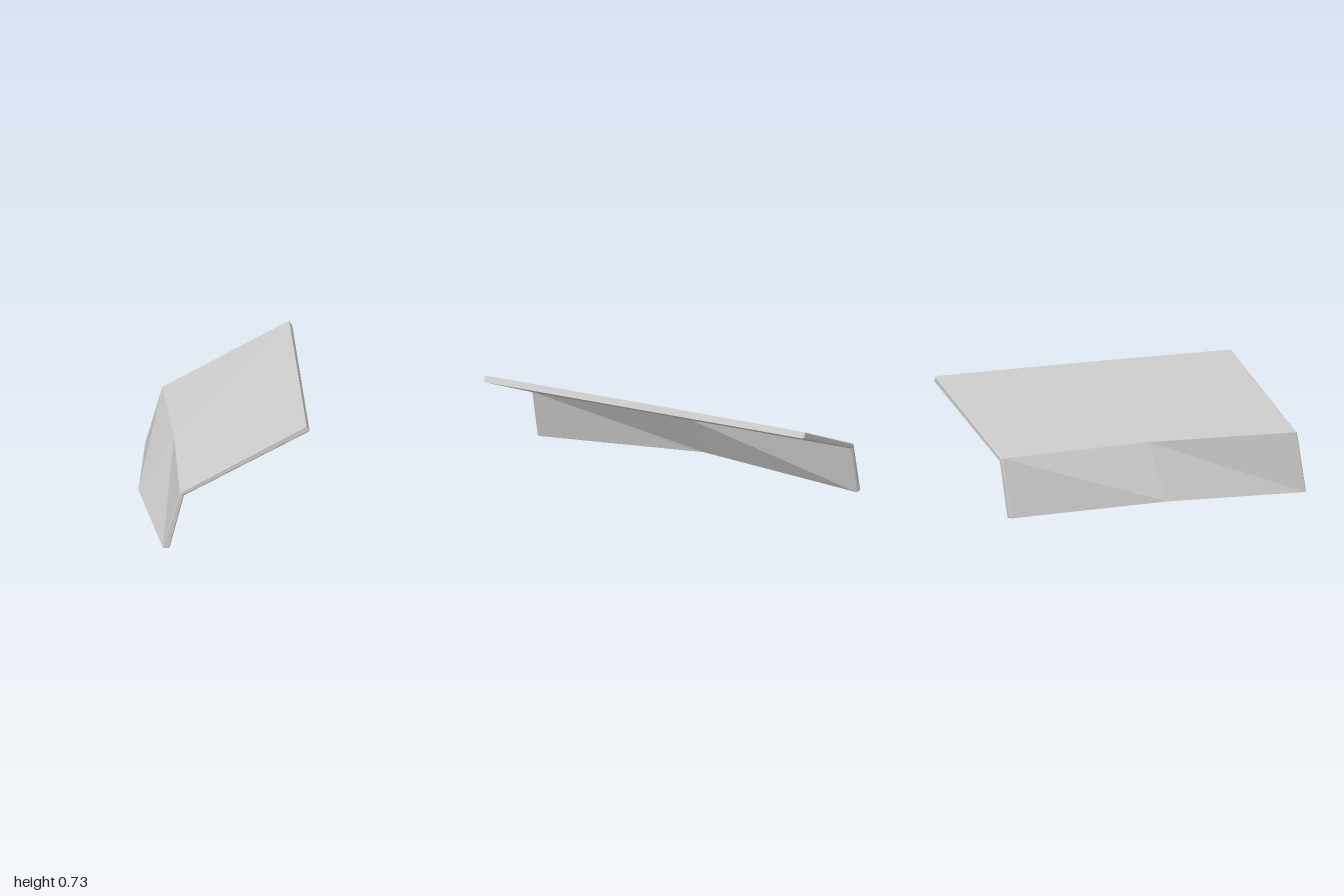
import * as THREE from 'three';

// Profiles (x, y): flap bottom outer/inner, bend inner, roof edge inner/outer, bend outer
const END = [[-0.38, 0], [-0.34, 0], [-0.257, 0.314], [0.468, 0.691], [0.45, 0.725], [-0.281, 0.336]];
const MIDDLE = [[-0.47, 0.033], [-0.43, 0.037], [-0.255, 0.315], [0.468, 0.691], [0.45, 0.728], [-0.264, 0.353]];
// Inward directions for the fine chamfer around both ends
const INSET = [[0.005, 0.004], [-0.004, 0.005], [-0.005, 0.004], [-0.006, 0.003], [-0.003, -0.006], [0.004, -0.005]];

function createSheet() {
  const chamfered = END.map(([x, y], i) => [x + INSET[i][0], y + INSET[i][1]]);
  const sections = [[chamfered, -1], [END, -0.993], [MIDDLE, 0], [END, 0.993], [chamfered, 1]];
  const positions = [], indices = [];
  for (const [profile, z] of sections) for (const [x, y] of profile) positions.push(x, y, z);

  const n = END.length;
  const quad = (a, b, c, d) => indices.push(a, b, c, a, c, d);
  for (let s = 0; s < sections.length - 1; s++) {
    for (let i = 0; i < n; i++) {
      const j = (i + 1) % n;
      quad(s * n + i, s * n + j, (s + 1) * n + j, (s + 1) * n + i);
    }
  }
  // End caps, split at the bend
  const last = (sections.length - 1) * n;
  for (const [a, b, c, d] of [[0, 1, 2, 5], [5, 2, 3, 4]]) {
    quad(last + a, last + b, last + c, last + d);
    quad(d, c, b, a);
  }

  const indexed = new THREE.BufferGeometry();
  indexed.setAttribute('position', new THREE.Float32BufferAttribute(positions, 3));
  indexed.setIndex(indices);
  const geometry = indexed.toNonIndexed();
  geometry.computeVertexNormals();
  return geometry;
}

export function createModel() {
  const group = new THREE.Group();
  group.name = 'bentPanel';
  const material = new THREE.MeshStandardMaterial({ color: 0xcccccc, flatShading: true });
  // One folded sheet: sloping roof panel with a flap that bulges at mid-length
  const sheet = new THREE.Mesh(createSheet(), material);
  sheet.name = 'foldedSheet';
  group.add(sheet);
  return group;
}
